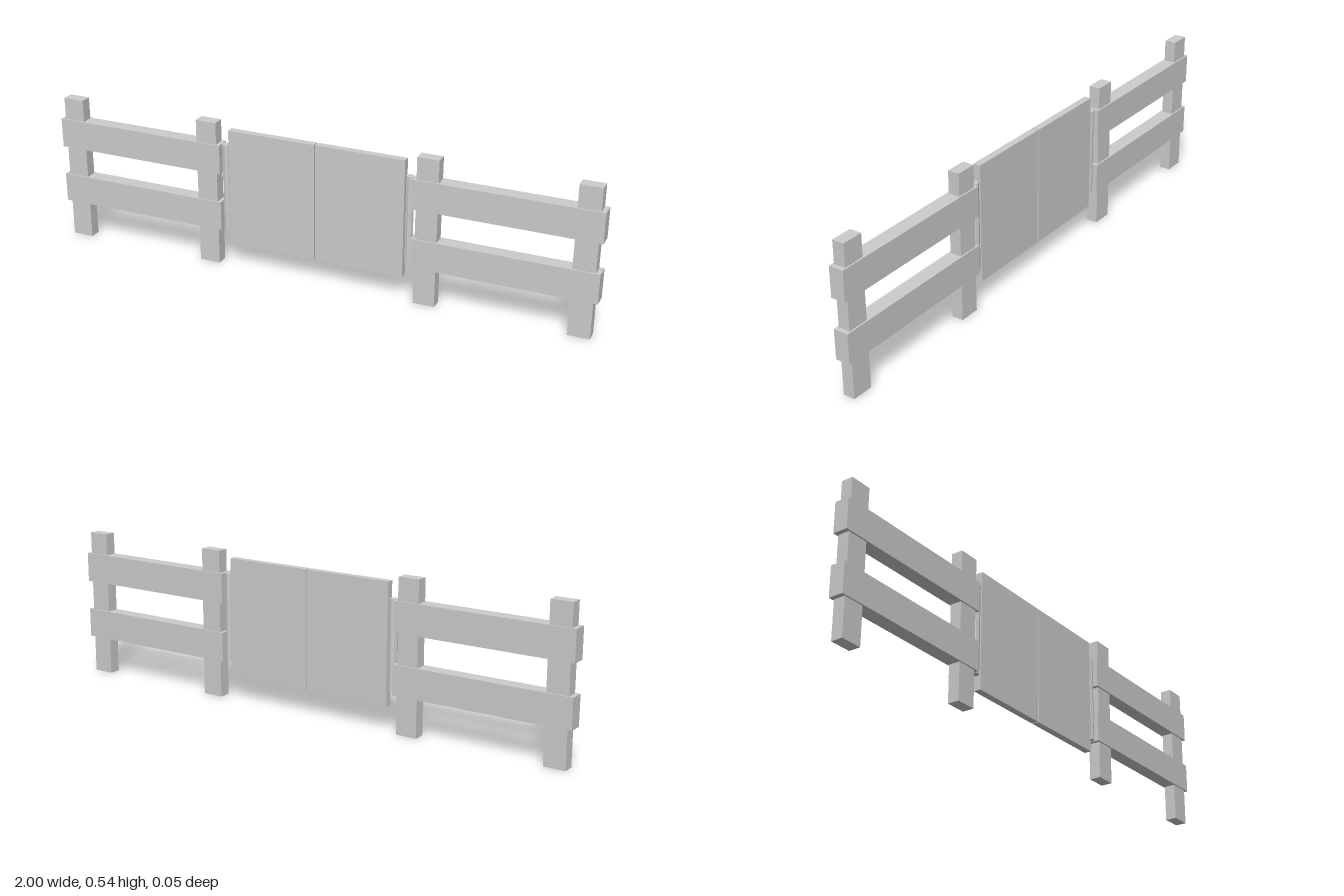
import * as THREE from 'three';

const material = new THREE.MeshStandardMaterial({ color: 0xcccccc, flatShading: true });

// Box given by its x and y extents, centred on z = 0
function addBox(parent, name, x0, x1, y0, y1, depth) {
  const mesh = new THREE.Mesh(new THREE.BoxGeometry(x1 - x0, y1 - y0, depth), material);
  mesh.position.set((x0 + x1) / 2, (y0 + y1) / 2, 0);
  mesh.name = name;
  parent.add(mesh);
}

// One half: fence section, hinge and gate door, built towards +x
function createHalf(name) {
  const half = new THREE.Group();
  half.name = name;

  // Upright posts
  addBox(half, 'innerPost', 0.37, 0.447, 0, 0.538, 0.042);
  addBox(half, 'outerPost', 0.907, 0.984, 0, 0.538, 0.042);

  // Horizontal rails, slightly thicker than the posts
  addBox(half, 'lowerRail', 0.356, 1, 0.135, 0.242, 0.053);
  addBox(half, 'upperRail', 0.356, 1, 0.35, 0.458, 0.053);

  // Hinge pin between rails and door
  const hinge = new THREE.Mesh(new THREE.CylinderGeometry(0.015, 0.015, 0.322, 8), material);
  hinge.position.set(0.341, 0.297, 0);
  hinge.name = 'hinge';
  half.add(hinge);

  // Gate door, leaving a narrow slit in the middle
  addBox(half, 'gateDoor', 0.002, 0.326, 0.085, 0.515, 0.026);
  return half;
}

export function createModel() {
  const model = new THREE.Group();
  model.name = 'fenceGate';
  const left = createHalf('leftHalf');
  const right = createHalf('rightHalf');
  right.rotation.y = Math.PI; // the half is symmetric front to back
  model.add(left, right);
  return model;
}
